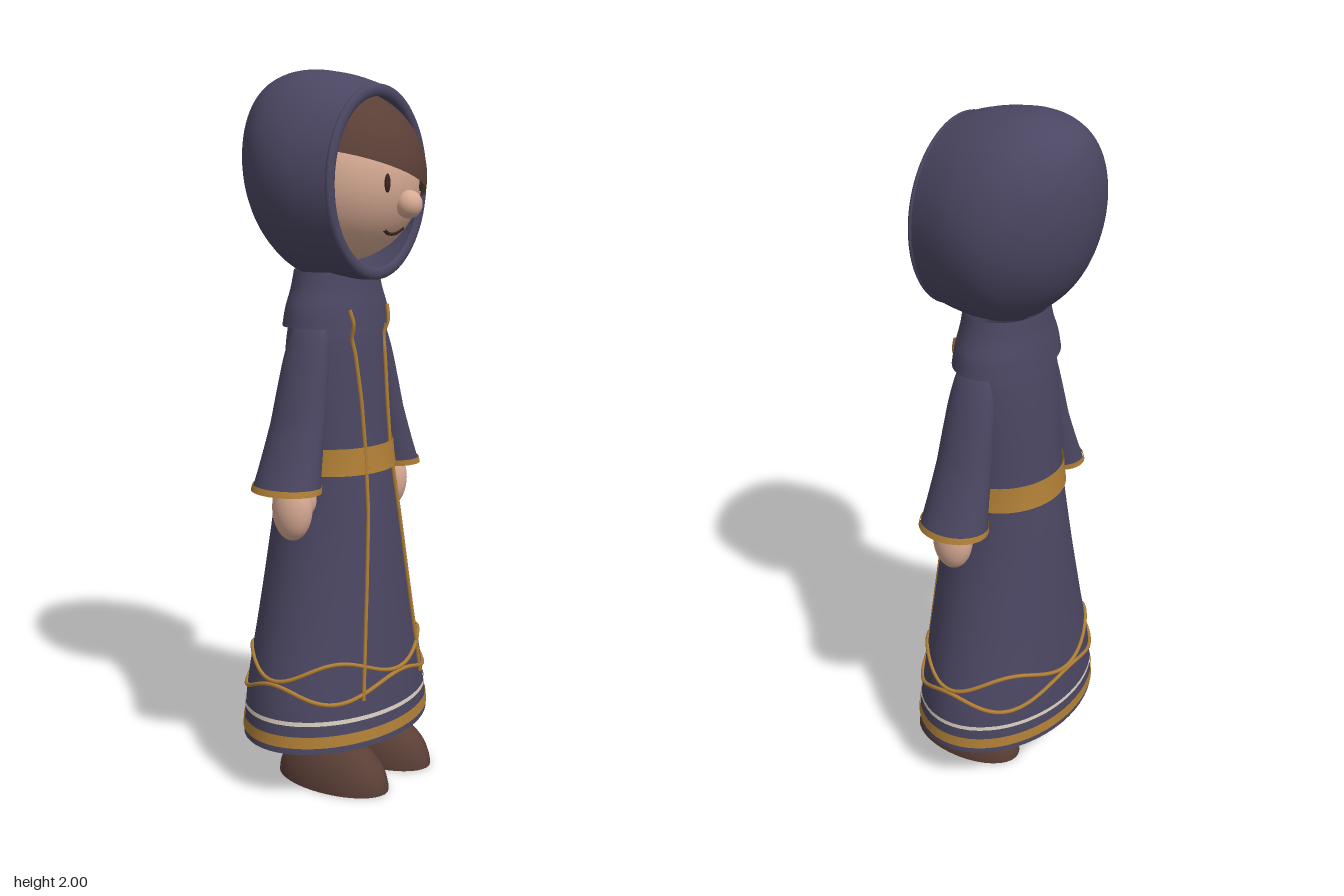
import * as THREE from 'three';

const mat = (name, color, side = THREE.FrontSide) => {
  const m = new THREE.MeshStandardMaterial({ color, side });
  m.name = name;
  return m;
};

// Cross-section rows: [height, half width, centre z, half depth]
const ROBE = [
  [0.145, 0.325, -0.008, 0.232], [0.28, 0.308, -0.01, 0.222], [0.5, 0.255, -0.009, 0.201],
  [0.78, 0.192, -0.008, 0.174], [0.95, 0.172, -0.009, 0.151], [1.2, 0.166, -0.011, 0.13],
  [1.31, 0.155, -0.01, 0.118], [1.37, 0.12, -0.01, 0.1],
];
const COLLAR = [
  [1.31, 0.183, -0.008, 0.13], [1.36, 0.172, -0.008, 0.123],
  [1.41, 0.15, -0.008, 0.114], [1.46, 0.135, -0.008, 0.108],
];
const SLEEVE = [
  [0.875, 0.08, 0, 0.1], [0.95, 0.069, 0, 0.092], [1.05, 0.059, 0, 0.083],
  [1.15, 0.052, 0, 0.076], [1.25, 0.044, 0, 0.066], [1.31, 0.032, 0, 0.05], [1.345, 0.001, 0, 0.001],
];
const SLEEVE_X = [[0.875, 0.245], [1.05, 0.192], [1.2, 0.159], [1.345, 0.125]];
// Hood rows run from the opening to the back: [-z, half width, centre y, half height]
const HOOD = [
  [-0.13, 0.232, 1.698, 0.258], [-0.06, 0.25, 1.705, 0.274], [0, 0.26, 1.711, 0.281],
  [0.07, 0.255, 1.72, 0.28], [0.13, 0.231, 1.736, 0.26], [0.19, 0.184, 1.755, 0.221],
  [0.23, 0.134, 1.773, 0.169], [0.255, 0.08, 1.784, 0.102], [0.265, 0.036, 1.789, 0.047], [0.268, 0.0005, 1.79, 0.0005],
];

// Linear lookup in a table by its first column
function at(rows, t) {
  let i = 1;
  while (i < rows.length - 1 && rows[i][0] < t) i++;
  const a = rows[i - 1], b = rows[i];
  const k = THREE.MathUtils.clamp((t - a[0]) / (b[0] - a[0]), 0, 1);
  return a.map((v, n) => v + (b[n] - v) * k);
}

// Spline through the rows for soft profiles
function smooth(rows, steps) {
  const first = new THREE.CatmullRomCurve3(rows.map(r => new THREE.Vector3(r[0], r[1], r[3])));
  const second = new THREE.CatmullRomCurve3(rows.map(r => new THREE.Vector3(r[0], r[2], 0)));
  return Array.from({ length: steps + 1 }, (_, i) => {
    const p = first.getPoint(i / steps), q = second.getPoint(i / steps);
    return [p.x, Math.max(p.y, 0.0004), q.y, Math.max(p.z, 0.0004)];
  });
}

// Surface through elliptical rings
function loft(rows, n = 56) {
  const pos = [], idx = [];
  rows.forEach(([y, rx, c, rz], i) => {
    for (let j = 0; j < n; j++) {
      const a = j / n * Math.PI * 2;
      pos.push(rx * Math.sin(a), y, c + rz * Math.cos(a));
      if (i === rows.length - 1) continue;
      const p = i * n + j, q = i * n + (j + 1) % n;
      idx.push(p, q, q + n, p, q + n, p + n);
    }
  });
  const g = new THREE.BufferGeometry();
  g.setAttribute('position', new THREE.Float32BufferAttribute(pos, 3));
  g.setIndex(idx);
  g.computeVertexNormals();
  return g;
}

// Band hugging a lofted body between two heights
const band = (rows, y0, y1, off) => loft([y0, (y0 + y1) / 2, y1].map(y => {
  const [, rx, c, rz] = at(rows, y);
  return [y, rx + off, c, rz + off];
}));

const cord = (points, r, closed = false, seg = 80) =>
  new THREE.TubeGeometry(new THREE.CatmullRomCurve3(points, closed), seg, r, 6, closed);

export function createModel() {
  const model = new THREE.Group();
  const cloth = mat('purple cloth', 0x4b4662, THREE.DoubleSide);
  const gold = mat('gold trim', 0xb07f36, THREE.DoubleSide);
  const cream = mat('cream stripe', 0xd9cfc0, THREE.DoubleSide);
  const skin = mat('skin', 0xd8ab94);
  const brown = mat('brown hair and leather', 0x5a3f36, THREE.DoubleSide);
  const dark = mat('dark features', 0x3a2620);

  const add = (name, geometry, material, parent = model) => {
    const m = new THREE.Mesh(geometry, material);
    m.name = name;
    parent.add(m);
    return m;
  };
  const ball = (name, material, p, s, parent = model) => {
    const m = add(name, new THREE.SphereGeometry(1, 36, 24), material, parent);
    m.position.set(...p);
    m.scale.set(...s);
    return m;
  };

  // Robe with closed hem, collar, belt and hem stripes
  add('robe', loft(smooth(ROBE, 36)), cloth);
  const hem = add('robeUnderside', new THREE.CircleGeometry(1, 56).rotateX(Math.PI / 2), cloth);
  hem.position.set(0, 0.146, -0.008);
  hem.scale.set(0.325, 1, 0.232);
  add('collar', loft(smooth(COLLAR, 12)), cloth);
  add('belt', band(ROBE, 0.905, 0.98, 0.006), gold);
  add('goldHemStripe', band(ROBE, 0.163, 0.195, 0.004), gold);
  add('creamHemStripe', band(ROBE, 0.225, 0.237, 0.004), cream);

  // Wavy cords around the skirt
  [[0.365, -0.026], [0.305, 0.024]].forEach(([mid, amp], k) => {
    const pts = Array.from({ length: 48 }, (_, i) => {
      const a = i / 48 * Math.PI * 2, y = mid + amp * Math.cos(4 * a);
      const [, rx, c, rz] = at(ROBE, y);
      return new THREE.Vector3((rx + 0.003) * Math.sin(a), y, c + (rz + 0.003) * Math.cos(a));
    });
    add(k ? 'lowerWavyCord' : 'upperWavyCord', cord(pts, 0.006, true, 160), gold);
  });

  // Cords down the front
  const cordX = [[0.28, 0.145], [0.6, 0.1], [0.8, 0.074], [0.95, 0.061], [1.1, 0.062], [1.25, 0.072], [1.36, 0.09]];
  for (const s of [1, -1]) {
    const pts = Array.from({ length: 28 }, (_, i) => {
      const y = 0.28 + 1.08 * i / 27, x = at(cordX, y)[1];
      const [, rx, c, rz] = at(y > 1.3 ? COLLAR : ROBE, y);
      return new THREE.Vector3(s * x, y, c + rz * Math.sqrt(1 - (x / rx) ** 2) + 0.004);
    });
    add(s > 0 ? 'leftFrontCord' : 'rightFrontCord', cord(pts, 0.006), gold);
  }

  // Arms and shoes
  for (const s of [1, -1]) {
    const side = s > 0 ? 'left' : 'right';
    const lean = g => {
      const p = g.attributes.position;
      for (let i = 0; i < p.count; i++) p.setX(i, p.getX(i) + s * at(SLEEVE_X, p.getY(i))[1]);
      g.computeVertexNormals();
      return g;
    };
    const arm = new THREE.Group();
    arm.name = side + 'Arm';
    model.add(arm);
    add('sleeve', lean(loft(smooth(SLEEVE, 24), 40)), cloth, arm);
    add('cuffTrim', lean(band(SLEEVE, 0.873, 0.89, 0.004)), gold, arm);
    ball('hand', skin, [s * 0.234, 0.825, 0.012], [0.051, 0.092, 0.058], arm);
    ball('thumb', skin, [s * 0.193, 0.845, 0.04], [0.018, 0.04, 0.02], arm);

    const shoe = new THREE.Group();
    shoe.name = side + 'Shoe';
    shoe.position.set(s * 0.11, 0, 0.06);
    shoe.scale.set(0.101, 0.14, 0.18);
    model.add(shoe);
    add('shoeUpper', new THREE.SphereGeometry(1, 36, 14, 0, Math.PI * 2, 0, Math.PI / 2), brown, shoe);
    add('sole', new THREE.CircleGeometry(1, 36).rotateX(Math.PI / 2), brown, shoe);
  }

  // Hood with rolled rim
  add('hood', loft(smooth(HOOD, 40), 64).rotateX(-Math.PI / 2), cloth);
  const rim = Array.from({ length: 40 }, (_, i) => {
    const a = i / 40 * Math.PI * 2;
    return new THREE.Vector3(0.22 * Math.sin(a), 1.698 + 0.244 * Math.cos(a), 0);
  });
  const rimMesh = add('hoodRim', new THREE.TubeGeometry(new THREE.CatmullRomCurve3(rim, true), 90, 0.017, 10, true), cloth);
  rimMesh.position.z = 0.13;
  rimMesh.scale.z = 0.6;

  // Head and side-swept hair
  ball('head', skin, [0, 1.71, 0], [0.225, 0.23, 0.23]);
  const hair = add('hair', new THREE.SphereGeometry(0.242, 48, 20, 0, Math.PI * 2, 0, Math.PI * 0.49), brown);
  hair.position.set(0, 1.71, 0);
  hair.rotation.z = -0.32;

  // Face
  const faceZ = (x, y) => 0.23 * Math.sqrt(1 - (x / 0.225) ** 2 - ((y - 1.71) / 0.23) ** 2);
  ball('nose', skin, [0, 1.643, 0.23], [0.038, 0.038, 0.036]);
  for (const s of [1, -1]) {
    ball(s > 0 ? 'leftEye' : 'rightEye', dark, [s * 0.08, 1.7, faceZ(0.08, 1.7)], [0.011, 0.025, 0.006]);
  }
  const smile = [-0.045, -0.022, 0, 0.022, 0.045].map(x => {
    const y = 1.562 + 7 * x * x;
    return new THREE.Vector3(x, y, faceZ(x, y));
  });
  add('mouth', cord(smile, 0.005, false, 20), dark);

  return model;
}
